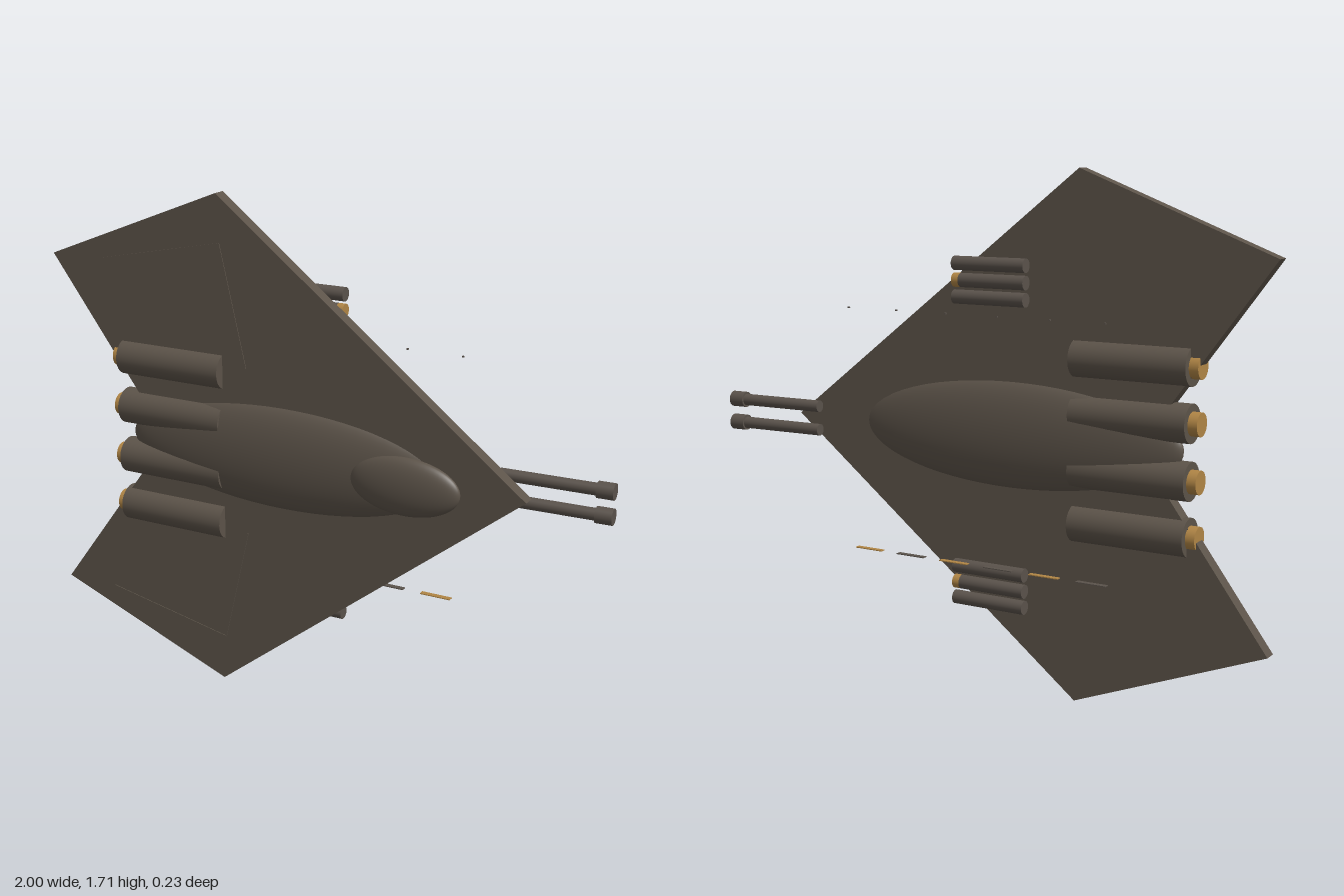
import * as THREE from 'three';

const CY = 0.86; // symmetry height
const CZ = 0.007; // wing mid-plane

const mat = (name, color) => {
  const m = new THREE.MeshStandardMaterial({ color });
  m.name = name;
  return m;
};

export function createModel() {
  const root = new THREE.Group();
  root.name = 'deltaCraft';
  const hull = mat('hullBrownGrey', 0x5c5349);
  const metal = mat('gunGrey', 0x5a524b);
  const brass = mat('brass', 0xb08545);

  const add = (name, geo, material, x, y, z) => {
    const mesh = new THREE.Mesh(geo, material);
    mesh.name = name;
    mesh.position.set(x, y, z);
    root.add(mesh);
    return mesh;
  };
  // Cylinder lying along x between two x positions
  const rod = (name, r, x0, x1, y, z, material) =>
    add(name, new THREE.CylinderGeometry(r, r, x1 - x0, 32).rotateZ(-Math.PI / 2), material, (x0 + x1) / 2, y, z);
  const ellipsoid = (name, rx, ry, rz, x, z) =>
    add(name, new THREE.SphereGeometry(1, 48, 32).rotateZ(Math.PI / 2).scale(rx, ry, rz), hull, x, CY, z);

  // Flat arrowhead wing
  const outline = new THREE.Shape([
    [0.76, 0], [-0.34, 0.857], [-1, 0.6], [-0.555, 0], [-1, -0.6], [-0.34, -0.857],
  ].map(([x, y]) => new THREE.Vector2(x, y)));
  add('wing', new THREE.ExtrudeGeometry(outline, { depth: 0.046, bevelEnabled: false }), hull, 0, CY, CZ - 0.023);

  // Body and canopy
  ellipsoid('fuselage', 0.6, 0.185, 0.07, -0.1, CZ);
  ellipsoid('canopy', 0.19, 0.097, 0.041, 0.37, 0.074);

  for (const s of [1, -1]) {
    // Engines with brass nozzles
    for (const d of [0.09, 0.266]) {
      rod('engine', 0.062, -0.727, -0.325, CY + s * d, CZ, hull);
      rod('nozzle', 0.038, -0.758, -0.72, CY + s * d, CZ, brass);
    }

    // Twin guns, angled slightly away from the wing
    const gun = new THREE.Group();
    gun.name = 'gun';
    const barrel = new THREE.Mesh(new THREE.CylinderGeometry(0.02, 0.02, 0.33, 24).rotateZ(-Math.PI / 2), metal);
    barrel.name = 'barrel';
    barrel.position.x = 0.165;
    const muzzle = new THREE.Mesh(new THREE.CylinderGeometry(0.027, 0.027, 0.055, 24).rotateZ(-Math.PI / 2), metal);
    muzzle.name = 'muzzle';
    muzzle.position.x = 0.342;
    gun.add(barrel, muzzle);
    gun.position.set(0.63, CY + s * 0.041, -0.077);
    gun.rotation.y = 0.04;
    root.add(gun);

    // Missile racks behind the wing, the middle one brass tipped
    for (const i of [-1, 0, 1]) {
      const y = CY + s * 0.5 + i * 0.054;
      rod('missile', 0.023, -0.185, i ? 0.08 : 0.055, y, -0.072, metal);
      if (!i) rod('missileTip', 0.023, 0.055, 0.08, y, -0.072, brass);
    }

    // Raised panel lines on the front of the wing
    const line = [[-0.8, 0.6], [-0.33, 0.695], [-0.235, 0.29]];
    for (let i = 0; i < 2; i++) {
      const [x0, y0] = line[i], [x1, y1] = line[i + 1];
      const seam = add('panelLine', new THREE.BoxGeometry(Math.hypot(x1 - x0, y1 - y0), 0.005, 0.004), hull,
        (x0 + x1) / 2, CY + s * (y0 + y1) / 2, CZ + 0.0235);
      seam.rotation.z = s * Math.atan2(y1 - y0, x1 - x0);
    }
  }

  // Row of thin floating strips and small studs behind the wing
  for (let i = 0; i < 6; i++) {
    add('strip', new THREE.BoxGeometry(0.107, 0.003, 0.019), i % 2 ? brass : metal, -0.441 + i * 0.1705, 0.43, -0.096);
    add('stud', new THREE.BoxGeometry(0.006, 0.005, 0.006), metal, -0.483 + i * 0.192, 1.253, -0.107);
  }

  return root;
}
